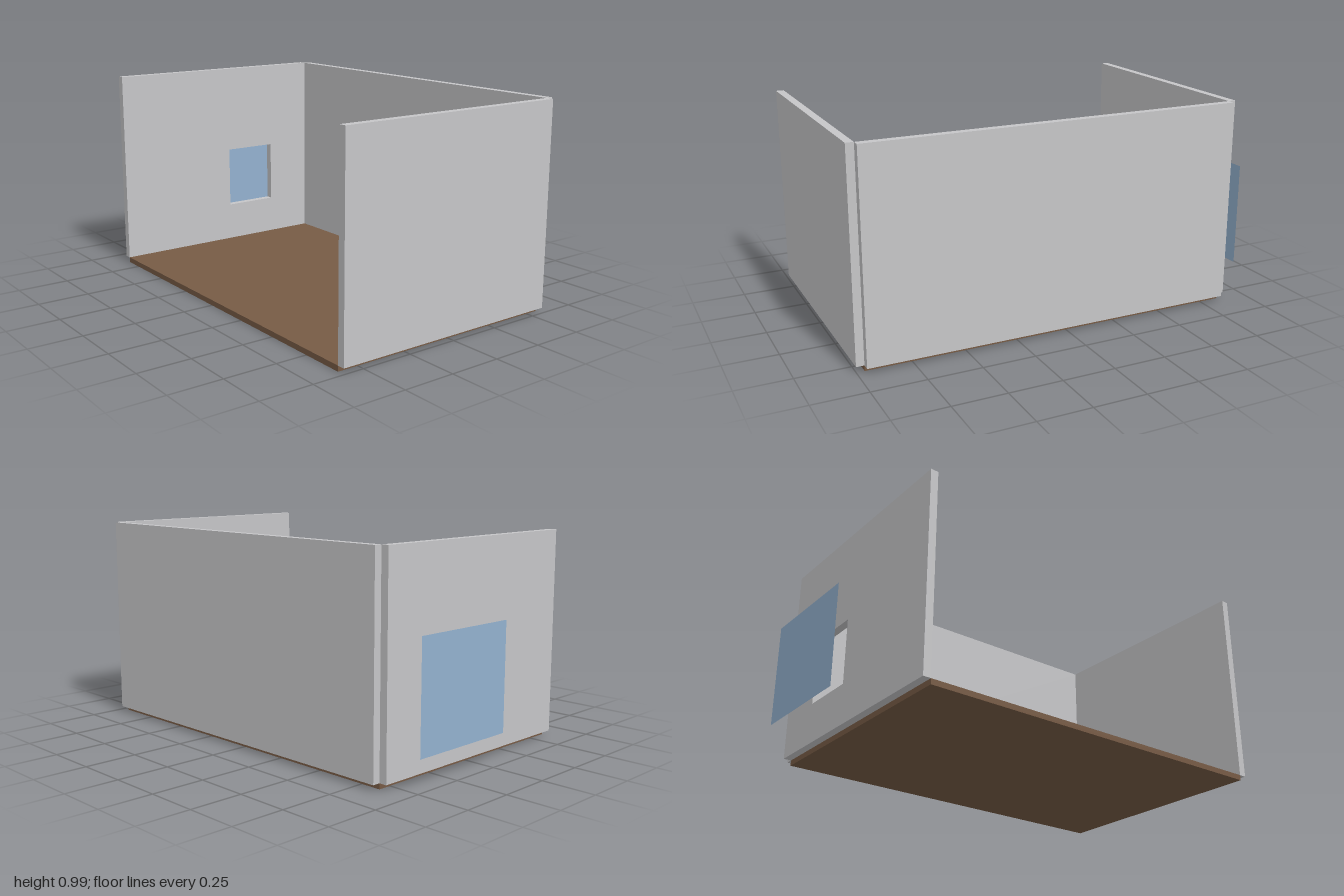
import * as THREE from 'three';

export function createModel() {
  const room = new THREE.Group();
  room.name = 'room';

  const plaster = new THREE.MeshStandardMaterial({ color: 0xc6c6c8 });
  plaster.name = 'wall grey';
  const wood = new THREE.MeshStandardMaterial({ color: 0x775b45 });
  wood.name = 'floor brown';
  const glass = new THREE.MeshStandardMaterial({ color: 0x93b1cf, side: THREE.DoubleSide });
  glass.name = 'window blue';

  const add = (name, geometry, material) => {
    const mesh = new THREE.Mesh(geometry, material);
    mesh.name = name;
    room.add(mesh);
    return mesh;
  };

  // Box given by its minimum and maximum corners
  const box = (name, material, [x0, y0, z0], [x1, y1, z1]) =>
    add(name, new THREE.BoxGeometry(x1 - x0, y1 - y0, z1 - z0), material)
      .position.set((x0 + x1) / 2, (y0 + y1) / 2, (z0 + z1) / 2);

  const base = 0.026, top = 0.994;         // wall heights
  const back = -0.563, front = 0.6;        // floor depth
  const right = -0.849, left = 0.963;      // inner faces of the side walls
  const thick = 0.037;

  box('floor', wood, [right, 0, back], [left, base, front]);
  box('backWall', plaster, [right, base, back - thick], [left, top, back]);
  box('leftWall', plaster, [left, base, back], [left + thick, top, front]);

  // Right wall with a window opening, drawn as (-z, y) and extruded along x
  const rect = (path, z0, y0, z1, y1) => path
    .moveTo(-z0, y0).lineTo(-z1, y0).lineTo(-z1, y1).lineTo(-z0, y1).closePath();
  const outline = new THREE.Shape();
  rect(outline, front, base, back, top);
  const opening = new THREE.Path();
  rect(opening, -0.04, 0.222, -0.32, 0.54);
  outline.holes.push(opening);
  const wall = new THREE.ExtrudeGeometry(outline, { depth: thick, bevelEnabled: false });
  wall.rotateY(Math.PI / 2);
  add('rightWall', wall, plaster).position.x = right - thick;

  // Window pane standing just outside the opening
  const pane = add('windowPane', new THREE.PlaneGeometry(0.555, 0.5), glass);
  pane.rotation.y = -Math.PI / 2;
  pane.position.set(-1, 0.392, -0.212);

  return room;
}
